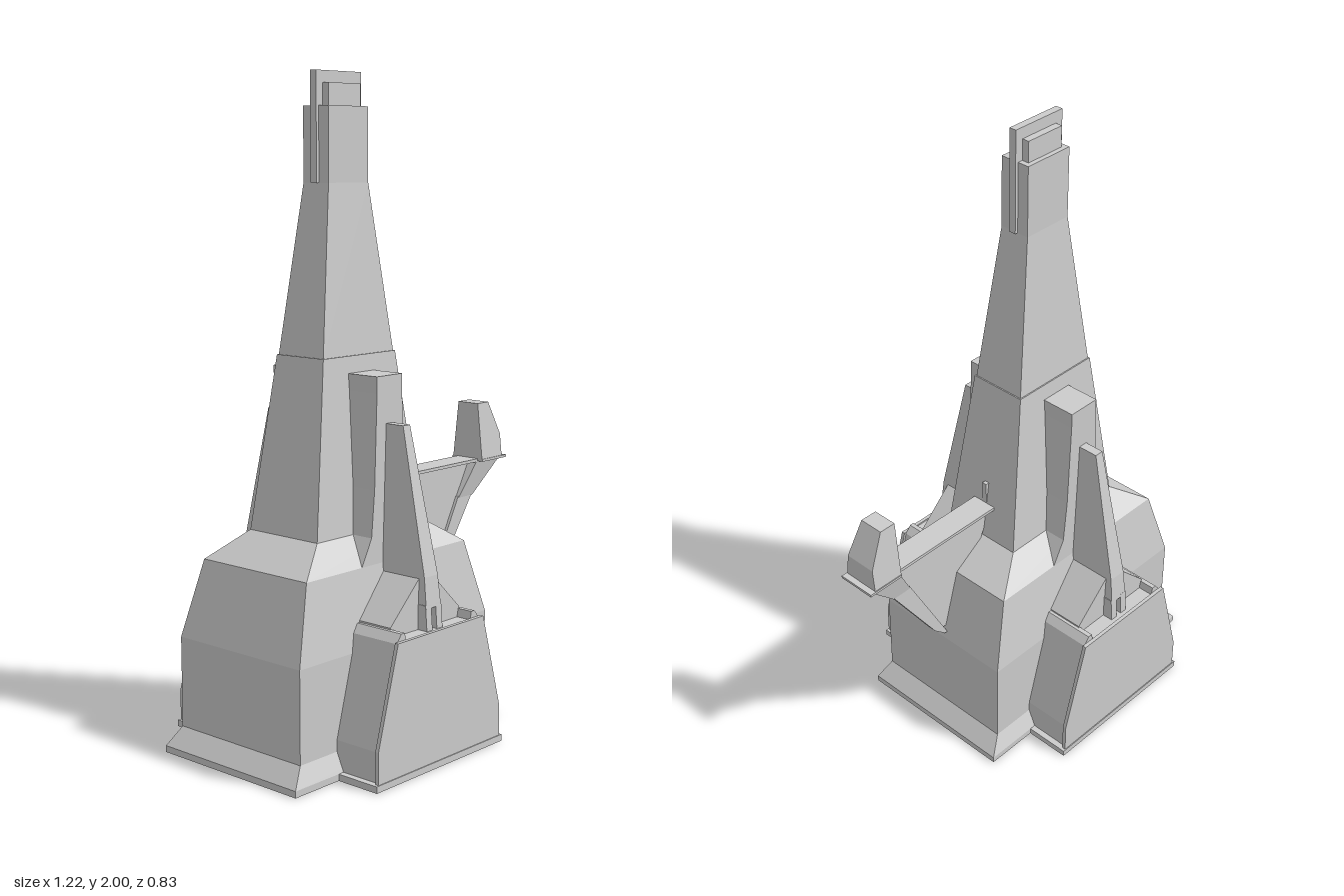
import * as THREE from 'three';

const material = new THREE.MeshStandardMaterial({ color: 0xcccccc, flatShading: true, side: THREE.DoubleSide });

function addMesh(parent, name, geometry) {
  const mesh = new THREE.Mesh(geometry, material);
  mesh.name = name;
  parent.add(mesh);
  return mesh;
}

// Stack of rectangular rings, each [y, x0, x1, z0, z1]
function loft(rings, capBottom = true, capTop = true) {
  const pos = [], idx = [];
  for (const [y, x0, x1, z0, z1] of rings) pos.push(x0, y, z1, x1, y, z1, x1, y, z0, x0, y, z0);
  for (let r = 0; r < rings.length - 1; r++) {
    for (let i = 0; i < 4; i++) {
      const a = r * 4 + i, b = r * 4 + (i + 1) % 4;
      idx.push(a, b, b + 4, a, b + 4, a + 4);
    }
  }
  const t = (rings.length - 1) * 4;
  if (capBottom) idx.push(0, 2, 1, 0, 3, 2);
  if (capTop) idx.push(t, t + 1, t + 2, t, t + 2, t + 3);
  const g = new THREE.BufferGeometry();
  g.setAttribute('position', new THREE.Float32BufferAttribute(pos, 3));
  g.setIndex(idx);
  const flat = g.toNonIndexed();
  flat.computeVertexNormals();
  return flat;
}

// Rings centred on the vertical axis: [y, halfX, halfZ]
const centred = (rings) => rings.map(([y, x, z]) => [y, -x, x, -z, z]);

const box = (x0, x1, y0, y1, z0, z1) => loft([[y0, x0, x1, z0, z1], [y1, x0, x1, z0, z1]]);

// Outline in x, y pulled from z0 to z1
function slab(points, z0, z1) {
  const shape = new THREE.Shape(points.map(([x, y]) => new THREE.Vector2(x, y)));
  const g = new THREE.ExtrudeGeometry(shape, { depth: z1 - z0, bevelEnabled: false });
  return g.translate(0, 0, z0);
}

// Right half of an outline, mirrored across x = 0
const mirrored = (half) => [...half, ...half.map(([x, y]) => [-x, y]).reverse()];

function createAnnex() {
  const annex = new THREE.Group();
  addMesh(annex, 'annexPlinth', box(-0.285, 0.285, 0, 0.02, 0.24, 0.415));

  // Block with raised shoulders and a slightly proud front plate
  const block = [[0.265, 0.02], [0.265, 0.11], [0.185, 0.405], [0.165, 0.43], [0.15, 0.43], [0.145, 0.405]];
  addMesh(annex, 'annexBlock', slab(mirrored(block), 0.2, 0.4));
  const plate = [[0.275, 0.02], [0.275, 0.115], [0.192, 0.41], [0.145, 0.41]];
  addMesh(annex, 'annexFrontPlate', slab(mirrored(plate), 0.4, 0.412));

  // Gabled roof
  addMesh(annex, 'annexRoof', slab(mirrored([[0.155, 0.4], [0.155, 0.435], [0.03, 0.555]]), 0.18, 0.35));

  // Tapered fin standing on two prongs
  addMesh(annex, 'fin', loft([
    [0.47, -0.033, 0.033, 0.17, 0.38],
    [0.56, -0.03, 0.03, 0.17, 0.37],
    [0.99, -0.015, 0.015, 0.17, 0.275],
  ]));
  for (const s of [-1, 1]) {
    const xs = [s * 0.01, s * 0.035].sort((a, b) => a - b);
    addMesh(annex, 'finProng', loft([[0.4, ...xs, 0.3, 0.385], [0.48, ...xs, 0.3, 0.379]]));
  }

  // Tall buttress flaring into the shoulder of the base
  addMesh(annex, 'buttress', loft([
    [0.58, -0.12, 0.12, 0.05, 0.21],
    [0.66, -0.078, 0.078, 0.05, 0.21],
    [0.8, -0.065, 0.065, 0.05, 0.21],
    [1.08, -0.055, 0.055, 0.05, 0.21],
    [1.13, -0.055, 0.055, 0.05, 0.21],
  ]));
  return annex;
}

function createArm() {
  const arm = new THREE.Group();
  arm.name = 'arm';
  addMesh(arm, 'walkway', box(0.065, 0.49, 0.768, 0.778, -0.042, 0.042));
  addMesh(arm, 'podFloor', box(0.48, 0.605, 0.77, 0.778, -0.063, 0.063));
  addMesh(arm, 'railPost', box(0.045, 0.065, 0.76, 0.85, -0.008, 0.008));

  // Pod, tapering upward with a sloped outer face
  addMesh(arm, 'pod', loft([
    [0.778, 0.48, 0.585, -0.06, 0.06],
    [0.85, 0.48, 0.585, -0.052, 0.052],
    [0.96, 0.48, 0.535, -0.04, 0.04],
  ]));
  // Bracket under the pod
  addMesh(arm, 'podBracket', loft([
    [0.655, 0.41, 0.48, -0.02, 0.02],
    [0.77, 0.475, 0.595, -0.042, 0.042],
  ]));
  // Web and diagonal strut
  addMesh(arm, 'web', slab([[0.04, 0.77], [0.2, 0.4], [0.27, 0.39], [0.48, 0.77]], -0.008, 0.008));
  addMesh(arm, 'strut', slab([[0.255, 0.37], [0.27, 0.375], [0.31, 0.41], [0.48, 0.66], [0.41, 0.66]], -0.018, 0.018));
  return arm;
}

export function createModel() {
  const model = new THREE.Group();
  model.name = 'tower';
  const building = new THREE.Group();
  building.name = 'building';
  building.position.x = -0.15;
  model.add(building);

  // Hollow base, open underneath, with a flared foot
  addMesh(building, 'base', loft(centred([
    [0, 0.415, 0.245], [0, 0.46, 0.27], [0.02, 0.46, 0.27], [0.075, 0.415, 0.245],
    [0.35, 0.415, 0.245], [0.58, 0.35, 0.21], [0.66, 0.23, 0.137],
  ]), false, false));

  // Lower and upper shaft with a fine step at the seam
  addMesh(building, 'lowerShaft', loft(centred([[0.66, 0.23, 0.137], [1.18, 0.156, 0.094]]), false));
  addMesh(building, 'upperShaft', loft(centred([[1.18, 0.152, 0.09], [1.68, 0.085, 0.05], [1.9, 0.085, 0.05]]), false));

  // Crown
  addMesh(building, 'crownBlock', box(-0.068, 0.068, 1.88, 1.965, -0.035, 0.035));
  addMesh(building, 'crownBlade', box(-0.095, 0.095, 1.68, 2, -0.012, 0.012));

  // Matching annexes at front and back
  const front = createAnnex();
  front.name = 'frontAnnex';
  const back = createAnnex();
  back.name = 'backAnnex';
  back.rotation.y = Math.PI;
  building.add(front, back);

  model.add(createArm());
  return model;
}
